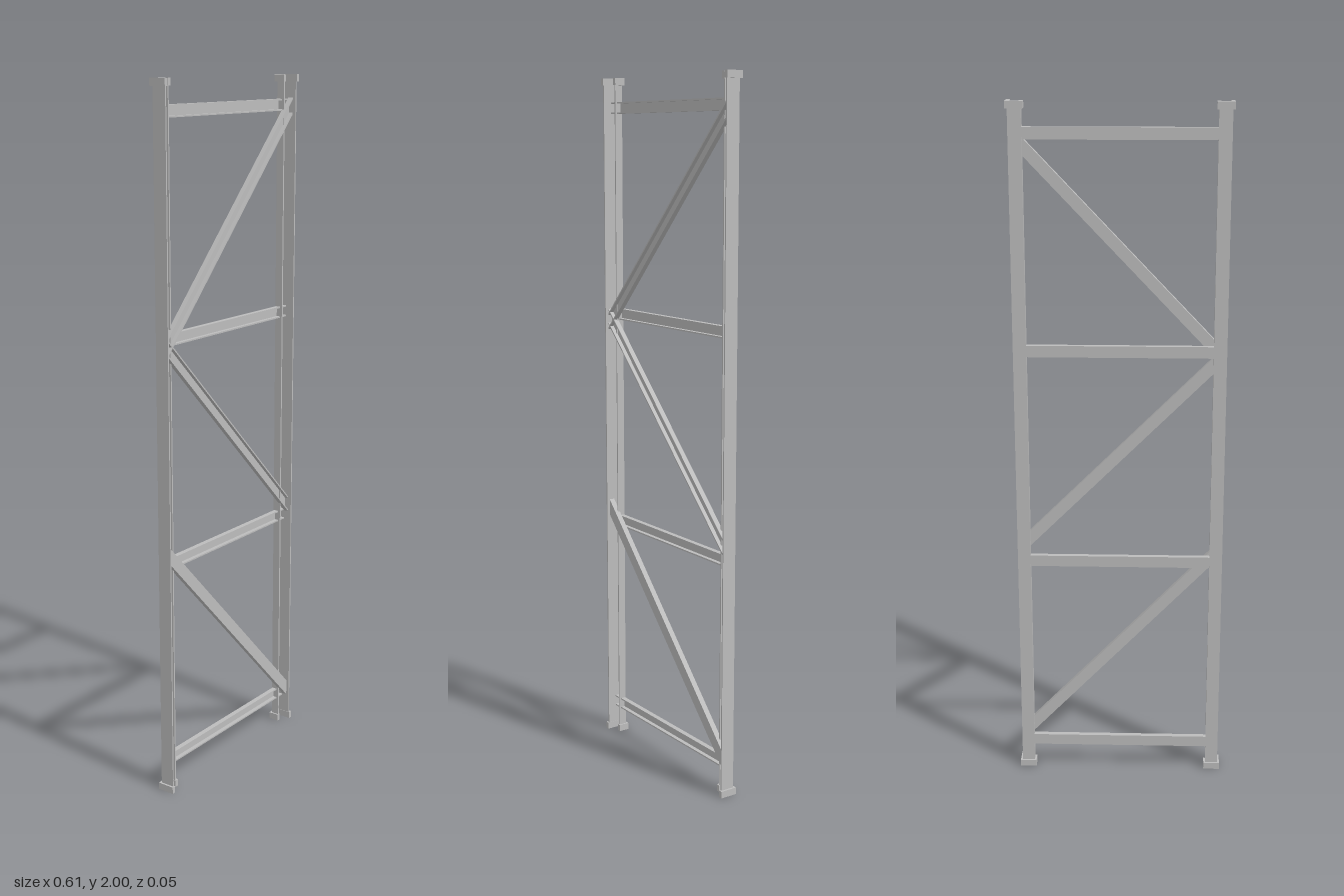
import * as THREE from 'three';

export function createModel() {
  const group = new THREE.Group();
  group.name = 'rackUprightFrame';
  const steel = new THREE.MeshStandardMaterial({ color: 0xbcbcbc });
  steel.name = 'galvanised grey';

  function add(parent, geometry, name) {
    const mesh = new THREE.Mesh(geometry, steel);
    mesh.name = name;
    parent.add(mesh);
  }

  // Uneven channel, open to the front: long outer leg, short inner leg.
  // Coordinates are [x, z]; side mirrors it.
  function channel(side, outer, inner, back, wall, longZ, shortZ, y, height) {
    const points = [
      [outer, back], [outer, longZ], [outer - wall, longZ], [outer - wall, back + wall],
      [inner + wall, back + wall], [inner + wall, shortZ], [inner, shortZ], [inner, back],
    ].map(([x, z]) => new THREE.Vector2(side * x, -z));
    const geometry = new THREE.ExtrudeGeometry(new THREE.Shape(points), { depth: height, bevelEnabled: false });
    return geometry.rotateX(-Math.PI / 2).translate(0, y, 0);
  }

  // Posts with a thicker collar at each end
  for (const [side, label] of [[1, 'left'], [-1, 'right']]) {
    const post = new THREE.Group();
    post.name = label + 'Post';
    add(post, channel(side, 0.299, 0.262, -0.021, 0.004, 0.02, 0.002, 0.002, 1.996), label + 'PostChannel');
    for (const [y, end] of [[0, 'Bottom'], [1.98, 'Top']]) {
      add(post, channel(side, 0.305, 0.257, -0.027, 0.011, 0.024, 0.005, y, 0.02), label + end + 'Collar');
    }
    group.add(post);
  }

  // Sloping plate with upright ends; y values are the lower edge
  const END = 0.294;
  function plate(yLeft, yRight, height, z0, z1) {
    const shape = new THREE.Shape([
      new THREE.Vector2(-END, yLeft), new THREE.Vector2(END, yRight),
      new THREE.Vector2(END, yRight + height), new THREE.Vector2(-END, yLeft + height),
    ]);
    return new THREE.ExtrudeGeometry(shape, { depth: z1 - z0, bevelEnabled: false }).translate(0, 0, z0);
  }

  // Channel-section brace: back web plus two flanges; yA and yB are end centres
  function brace(name, yA, yB, z0, z1) {
    const part = new THREE.Group();
    part.name = name;
    const stretch = Math.hypot(1, (yB - yA) / (2 * END));
    const height = 0.033 * stretch, wall = 0.004 * stretch, half = height / 2;
    add(part, plate(yA - half, yB - half, height, z0, z0 + 0.003), name + 'Web');
    add(part, plate(yA - half, yB - half, wall, z0 + 0.003, z1), name + 'LowerFlange');
    add(part, plate(yA + half - wall, yB + half - wall, wall, z0 + 0.003, z1), name + 'UpperFlange');
    group.add(part);
    return { part, height, half };
  }

  // Level braces sit at the back of the posts
  [0.09, 0.684, 1.318, 1.916].forEach((y, i) => brace('crossBar' + (i + 1), y, y, -0.019, -0.004));

  // Diagonals lie in front of the level braces
  brace('upperDiagonal', 1.295, 1.912, -0.004, 0.011);
  brace('middleDiagonal', 1.308, 0.718, -0.004, 0.011);
  const low = brace('lowerDiagonal', 0.722, 0.104, -0.004, 0.011);
  // The lowest diagonal is closed at the front
  add(low.part, plate(0.722 - low.half, 0.104 - low.half, low.height, 0.011, 0.012), 'lowerDiagonalFace');

  return group;
}
